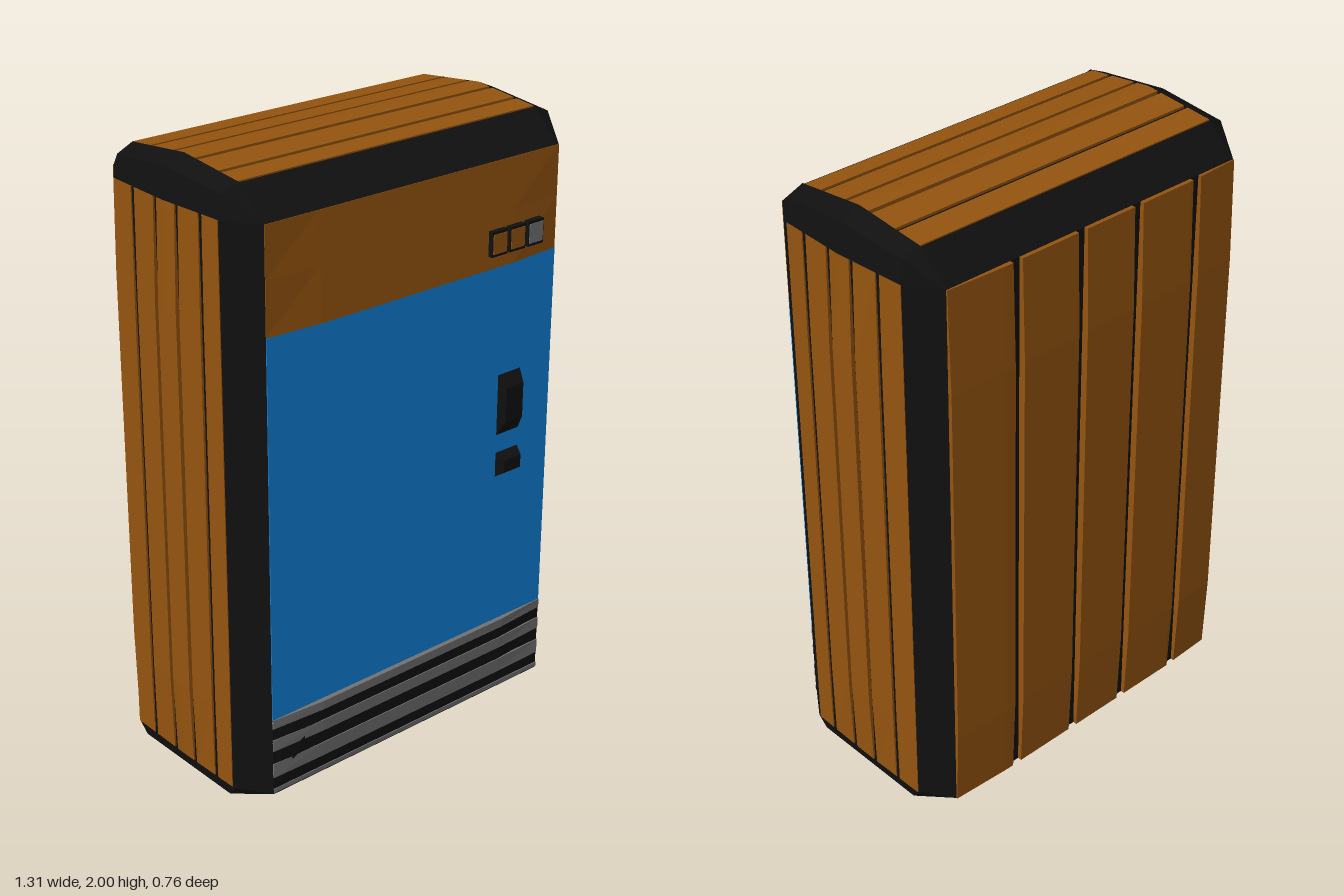
import * as THREE from 'three';
import { ConvexGeometry } from 'three/addons/geometries/ConvexGeometry.js';

const paint = (name, color) => {
  const m = new THREE.MeshStandardMaterial({ color });
  m.name = name;
  return m;
};

const V = (x, y, z) => new THREE.Vector3(x, y, z);

// Frames (across, along, outward) for each face of the cabinet
const FACES = {
  front: [V(1, 0, 0), V(0, 1, 0), V(0, 0, 1)],
  back: [V(-1, 0, 0), V(0, 1, 0), V(0, 0, -1)],
  left: [V(0, 0, -1), V(0, 1, 0), V(1, 0, 0)],
  right: [V(0, 0, 1), V(0, 1, 0), V(-1, 0, 0)],
  top: [V(0, 0, 1), V(1, 0, 0), V(0, 1, 0)],
};

// Slab spanning the grid lines us x vs, its outer face raised to height(u, v)
function slab(face, us, vs, floor, height) {
  const nu = us.length - 1, nv = vs.length - 1;
  let geo = new THREE.BoxGeometry(nu, nv, 1, nu, nv, 1);
  const p = geo.attributes.position;
  for (let i = 0; i < p.count; i++) {
    const u = us[Math.round(p.getX(i) + nu / 2)];
    const v = vs[Math.round(p.getY(i) + nv / 2)];
    p.setXYZ(i, u, v, p.getZ(i) > 0 ? height(u, v) : floor);
  }
  geo.applyMatrix4(new THREE.Matrix4().makeBasis(...FACES[face]));
  geo = geo.toNonIndexed();
  geo.computeVertexNormals();
  return geo;
}

// Rises from 0 at the outer edge to 1 at the inner limit
const rise = (value, edge, inner) => Math.min(1, Math.max(0, (edge - Math.abs(value)) / (edge - inner)));
// Vertical swell of the long panels
const swellY = (y) => Math.min(1, (y - 0.04) / 0.26, (1.88 - y) / 0.33);

export function createModel() {
  const black = paint('black casing', 0x101010);
  const orange = paint('orange panel', 0x94540f);
  const blue = paint('blue door', 0x0f80d6);
  const grey = paint('grey trim', 0x727272);

  const model = new THREE.Group();
  model.name = 'cabinet';
  const add = (name, geo, mat, parent = model) => {
    const mesh = new THREE.Mesh(geo, mat);
    mesh.name = name;
    parent.add(mesh);
    return mesh;
  };

  // Chamfered core
  const core = [];
  for (const sx of [-1, 1]) {
    core.push(V(sx * 0.57, 1.986, 0));
    for (const sz of [-1, 1]) {
      core.push(
        V(sx * 0.57, 1.97, sz * 0.25), V(sx * 0.57, 1.88, sz * 0.352), V(sx * 0.57, 0.04, sz * 0.352),
        V(sx * 0.64, 1.88, sz * 0.25), V(sx * 0.64, 0.04, sz * 0.25),
        V(sx * 0.57, 0, sz * 0.245), V(sx * 0.635, 0, sz * 0.22));
    }
  }
  add('casing', new ConvexGeometry(core), black);

  // Raised rims joining the roof to the sides
  for (const sx of [-1, 1]) {
    const rim = [V(sx * 0.57, 2, 0), V(sx * 0.635, 1.972, 0), V(sx * 0.653, 1.88, 0)];
    for (const sz of [-1, 1]) {
      rim.push(V(sx * 0.57, 1.974, sz * 0.25), V(sx * 0.628, 1.95, sz * 0.245),
        V(sx * 0.641, 1.88, sz * 0.25), V(sx * 0.57, 1.88, sz * 0.352));
    }
    add('topRim', new ConvexGeometry(rim), black);
  }

  // Row of planks between u0 and u1 with a gap at each cut
  function planks(name, face, u0, u1, cuts, gap, breaks, vs, floor, height) {
    const group = new THREE.Group();
    group.name = name;
    const ends = [u0, ...[...cuts].sort((a, b) => a - b).flatMap((c) => [c - gap / 2, c + gap / 2]), u1];
    for (let i = 0; i < ends.length; i += 2) {
      const [a, b] = [ends[i], ends[i + 1]];
      const us = [a, ...breaks.filter((k) => k > a && k < b), b];
      add('plank', slab(face, us, vs, floor, height), orange, group);
    }
    model.add(group);
  }

  const tall = [0.04, 0.3, 1.55, 1.88];
  const cutsZ = [-0.155, -0.045, 0.055, 0.162];
  const sideHeight = (u, y) => 0.642 + 0.013 * rise(u, 0.25, 0) * (0.3 + 0.7 * swellY(y));
  planks('leftSide', 'left', -0.24, 0.25, cutsZ.map((z) => -z), 0.016, [0], tall, 0.62, sideHeight);
  planks('rightSide', 'right', -0.25, 0.24, cutsZ, 0.016, [0], tall, 0.62, sideHeight);
  planks('back', 'back', -0.57, 0.57, [0.4, 0.155, -0.07, -0.32], 0.035, [-0.37, 0.37], tall, 0.33,
    (u, y) => 0.356 + 0.019 * (0.5 * rise(u, 0.57, 0.37) + 0.5 * swellY(y)));
  planks('roof', 'top', -0.25, 0.24, cutsZ, 0.015, [0], [-0.57, 0.57], 1.95,
    (z) => 1.974 + 0.026 * rise(z, 0.25, 0));

  // Front: header, door and ventilation grille
  const wide = [-0.57, -0.38, 0.38, 0.57];
  const frontHeight = (u, y) => 0.354 + 0.014 * rise(u, 0.57, 0.38) * swellY(y);
  add('header', slab('front', wide, [1.55, 1.72, 1.88], 0.33, frontHeight), orange);
  add('door', slab('front', [-0.57, 0.57], [0.305, 1.55], 0.345, () => 0.355), blue);
  add('grille', slab('front', wide, [0.04, 0.305], 0.33, frontHeight), black);
  for (const [y0, y1] of [[0.045, 0.06], [0.1, 0.15], [0.195, 0.235], [0.275, 0.306]]) {
    add('grilleSlat', slab('front', wide, [y0, y1], 0.34, (u, y) => frontHeight(u, y) + 0.003), grey);
  }

  // Header buttons
  [0.305, 0.38, 0.457].forEach((x, i) => {
    const body = add('button', new THREE.BoxGeometry(0.064, 0.08, 0.035), black);
    body.position.set(x, 1.632, 0.363);
    const face = add('buttonFace', new THREE.BoxGeometry(0.056, 0.062, 0.004), i === 2 ? grey : orange);
    face.position.set(x, 1.632, 0.381);
  });

  // Handle and lock: blocks with sloping ends
  const grips = [['handle', 0.97, 1.03, 1.145, 1.19], ['lock', 0.83, 0.853, 0.897, 0.92]];
  for (const [name, y0, y1, y2, y3] of grips) {
    const pts = [];
    for (const s of [-1, 1]) {
      pts.push(V(0.39 + s * 0.049, y0, 0.35), V(0.39 + s * 0.049, y3, 0.35),
        V(0.39 + s * 0.036, y1, 0.384), V(0.39 + s * 0.036, y2, 0.384));
    }
    add(name, new ConvexGeometry(pts), black);
  }
  return model;
}
